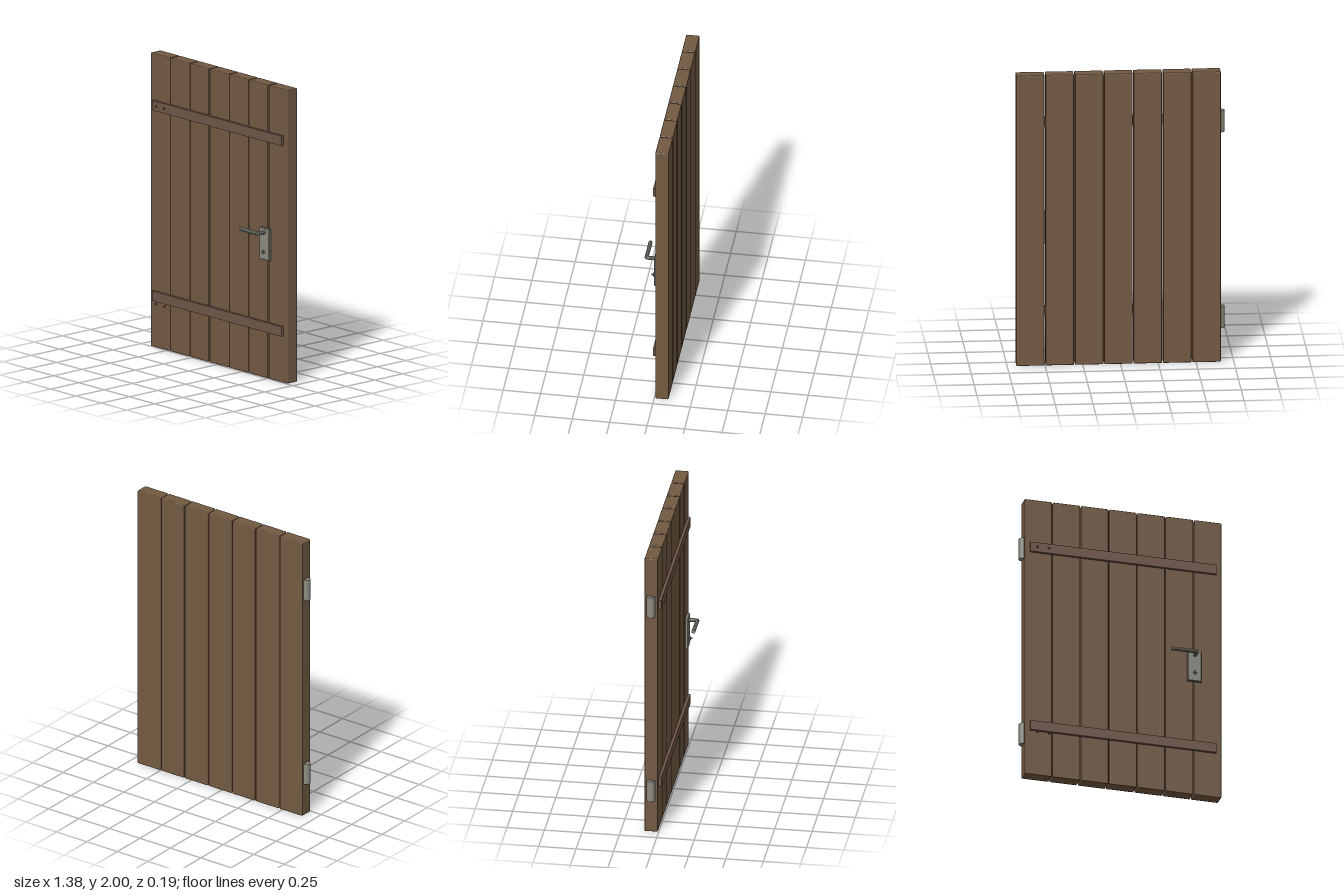
import * as THREE from 'three';
import { RoundedBoxGeometry } from 'three/addons/geometries/RoundedBoxGeometry.js';

const wood = new THREE.MeshStandardMaterial({ color: 0x735a43 });
const battenWood = new THREE.MeshStandardMaterial({ color: 0x705649 });
const metal = new THREE.MeshStandardMaterial({ color: 0x8c8c82 });
const facetedMetal = new THREE.MeshStandardMaterial({ color: 0x8c8c82, flatShading: true });

export function createModel() {
  const door = new THREE.Group();
  door.name = 'plankDoor';

  const add = (name, geometry, material, x, y, z, parent = door) => {
    const mesh = new THREE.Mesh(geometry, material);
    mesh.name = name;
    mesh.position.set(x, y, z);
    parent.add(mesh);
    return mesh;
  };

  // Seven upright planks with eased edges and narrow gaps
  const plank = new RoundedBoxGeometry(0.187, 2, 0.089, 2, 0.006);
  for (let i = 0; i < 7; i++) add('plank', plank, wood, -0.5705 + i * 0.1945, 1, -0.0505);

  // Cross battens, each with a pair of nails near the hinge side
  const batten = new THREE.BoxGeometry(1.281, 0.067, 0.02);
  const nail = new THREE.CylinderGeometry(0.007, 0.007, 0.012, 8).rotateX(Math.PI / 2);
  for (const [y, nailY] of [[1.65, 1.651], [0.351, 0.303]]) {
    add('batten', batten, battenWood, 0.0105, y, 0.003);
    for (const x of [-0.583, -0.503]) add('nail', nail, battenWood, x, nailY, 0.019);
  }

  // Hinge barrels half sunk into the left-hand edge of the front view
  const hinge = new THREE.CylinderGeometry(0.028, 0.028, 0.148, 20);
  for (const y of [1.651, 0.302]) add('hinge', hinge, metal, -0.664, y, -0.052);

  // Handle set
  const handle = new THREE.Group();
  handle.name = 'handleSet';
  door.add(handle);

  // Backing plate with a bevelled rim
  const b = 0.004, w = 0.0485 - b, h = 0.109 - b;
  const outline = new THREE.Shape([
    new THREE.Vector2(-w, -h), new THREE.Vector2(w, -h),
    new THREE.Vector2(w, h), new THREE.Vector2(-w, h),
  ]);
  const plate = new THREE.ExtrudeGeometry(outline, {
    depth: 0.014, bevelEnabled: true, bevelSize: b, bevelThickness: b, bevelSegments: 1,
  });
  add('handlePlate', plate, facetedMetal, 0.496, 0.921, 0.008, handle);

  // Spindle out of the plate, and lever turned towards the hinges
  const spindle = new THREE.CylinderGeometry(0.013, 0.013, 0.062, 10).rotateX(Math.PI / 2);
  add('spindle', spindle, facetedMetal, 0.498, 1.002, 0.051, handle);
  const lever = new THREE.CylinderGeometry(0.0135, 0.0135, 0.176, 10).rotateZ(Math.PI / 2);
  add('lever', lever, facetedMetal, 0.41, 1.002, 0.081, handle);

  // Small three-armed cross at the lock
  for (let axis = 0; axis < 3; axis++) {
    const size = [0.007, 0.007, 0.007];
    size[axis] = 0.026;
    add('lockCross', new THREE.BoxGeometry(...size), metal, 0.496, 0.868, 0.035, handle);
  }

  return door;
}
